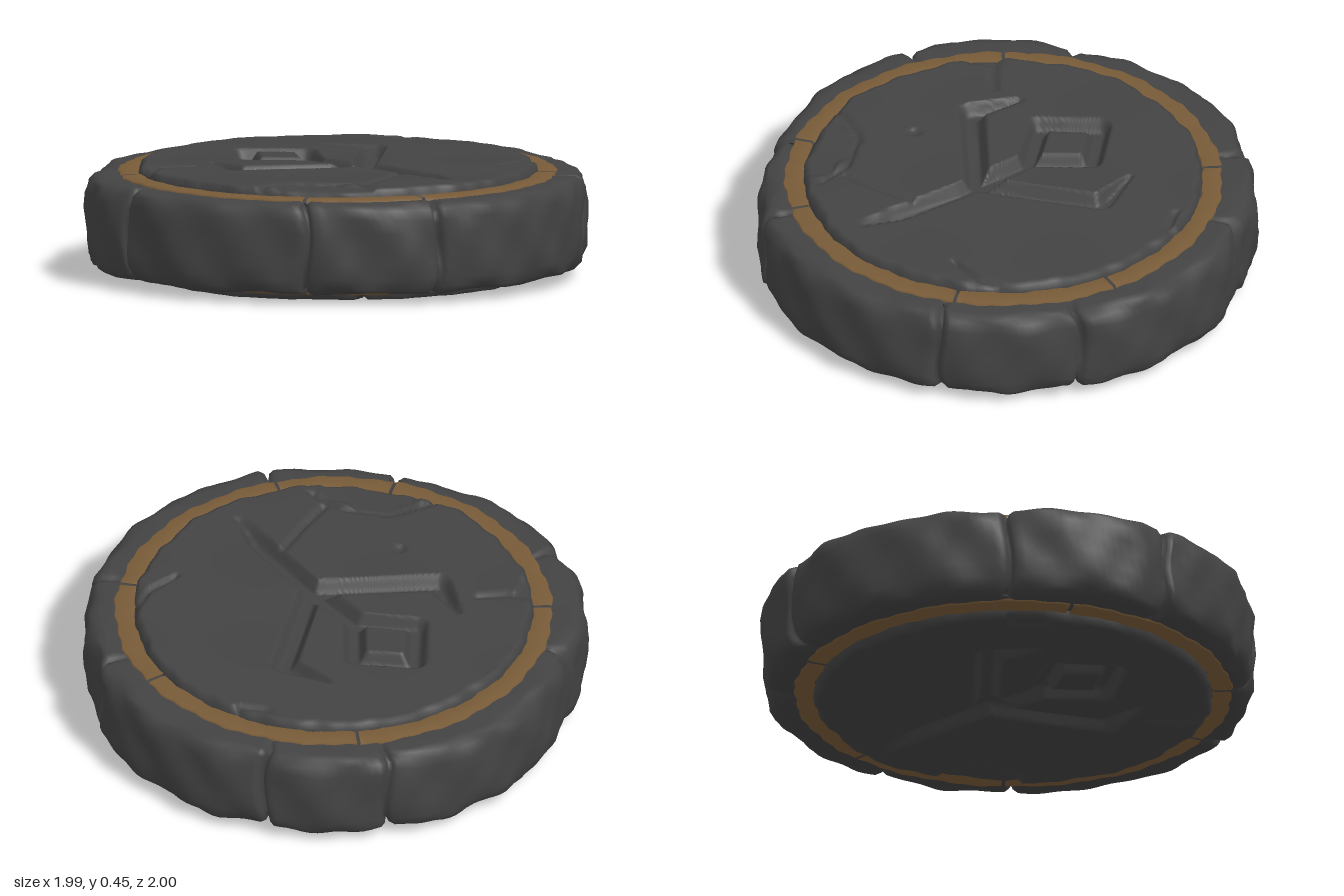
import * as THREE from 'three';

const MID = 0.23;        // height of the disc's middle plane
const FACE = 0.221;      // half thickness at the carved faces
const RIM = 0.182;       // half thickness of the outer stones
const TAU = Math.PI * 2;
const rad = (d) => ((d + 360) % 360) * Math.PI / 180;
const clamp01 = (v) => Math.min(1, Math.max(0, v));

const stone = new THREE.MeshStandardMaterial({ color: 0x434343 });
stone.name = 'dark stone';
const gold = new THREE.MeshStandardMaterial({ color: 0x785b38 });
gold.name = 'dull gold';

// Skin a surface through rows of points; every row has the same length.
function loft(rows, closed) {
  const n = rows.length, m = rows[0].length, index = [];
  for (let i = 0; i < (closed ? n : n - 1); i++) {
    for (let j = 0; j < m - 1; j++) {
      const k = (i + 1) % n;
      const a = i * m + j, b = k * m + j;
      index.push(a, b, a + 1, b, b + 1, a + 1);
    }
  }
  const g = new THREE.BufferGeometry();
  g.setAttribute('position', new THREE.Float32BufferAttribute(rows.flat(2), 3));
  g.setIndex(index);
  g.computeVertexNormals();
  return g;
}

const polar = (r, a, y) => [r * Math.cos(a), y, r * Math.sin(a)];

// Uneven outline of the outer stones, as x, z points going round
const outline = [
  [1, 0.08], [0.93, 0.34], [0.9, 0.37], [0.77, 0.615], [0.59, 0.786], [0.38, 0.914], [0.14, 0.98],
  [-0.13, 0.98], [-0.4, 0.9], [-0.66, 0.69], [-0.78, 0.54], [-0.9, 0.32], [-0.985, 0.05],
  [-0.957, -0.24], [-0.93, -0.32], [-0.92, -0.4], [-0.743, -0.668], [-0.52, -0.81], [-0.29, -0.94],
  [0, -1], [0.246, -0.975], [0.433, -0.885], [0.7, -0.72], [0.8, -0.57], [0.83, -0.52],
  [0.93, -0.37], [0.985, -0.13],
].map(([x, z]) => ({ a: (Math.atan2(z, x) + TAU) % TAU, r: Math.hypot(x, z) }));

function outlineRadius(angle) {
  const a = (angle + TAU) % TAU;
  let i = outline.findIndex((p) => p.a > a);
  if (i < 0) i = 0;
  const q = outline[i], p = outline[(i + outline.length - 1) % outline.length];
  const span = (q.a - p.a + TAU) % TAU;
  return p.r + (q.r - p.r) * (((a - p.a + TAU) % TAU) / span);
}

// Outer ring of stones, pinched in at the joints between them
const joints = [21, 54.5, 114, 146, 196.6, 236, 298, 327].map(rad);
function rimGeometry() {
  const gap = (a) => Math.min(...joints.map((c) => Math.abs(a - c)));
  const angles = [];
  for (let i = 0; i < 200; i++) {
    const a = (i / 200) * TAU;
    if (gap(a) > 0.036) angles.push(a);
  }
  joints.forEach((c) => [-0.03, -0.011, 0, 0.011, 0.03].forEach((d) => angles.push(c + d)));
  angles.sort((p, q) => p - q);
  // inset from the outline, height from the middle
  const profile = [
    [0.065, RIM], [0.035, RIM - 0.006], [0.014, RIM - 0.025], [0.002, RIM - 0.065], [0, 0.06],
    [0, 0], [0, -0.06], [0.004, 0.065 - RIM], [0.016, 0.025 - RIM], [0.035, 0.006 - RIM], [0.065, -RIM],
  ];
  const rows = angles.map((a) => {
    const d = gap(a);
    const pinch = d < 0.005 ? 1 : d < 0.02 ? 0.28 : 0;
    const R = outlineRadius(a);
    const row = profile.map(([inset, y], j) => {
      const chisel = 0.006 * Math.sin(a * 19 + j * 0.9) + 0.005 * Math.sin(a * 31 - j * 1.4) - 0.004;
      const lean = 0.012 * Math.sin(j * 0.8 + a * 3);
      const level = y + 0.004 * Math.sin(a * 13 + j);
      return polar(R - inset + chisel - 0.04 * pinch, a + lean,
        MID + level - Math.sign(y) * 0.03 * pinch * Math.min(1, Math.abs(y) / RIM));
    });
    const ledge = (s, r, h) => polar(r, a, MID + s * (h - 0.012 * pinch));
    return [ledge(1, 0.72, RIM - 0.004), ledge(1, 0.87, RIM - 0.002), ...row,
      ledge(-1, 0.87, RIM - 0.002), ledge(-1, 0.72, RIM - 0.004)];
  });
  return loft(rows, true);
}

// Gold inlay, broken into arcs with worn edges
const breaks = [8.5, 52, 115, 147, 219, 304].map(rad);
function inlayGeometry(side, start, end) {
  const rows = [];
  const n = Math.ceil((end - start) / 0.035);
  for (let i = 0; i <= n; i++) {
    const a = start + ((end - start) * i) / n;
    const inner = 0.786 + 0.004 * Math.sin(a * 23) + 0.003 * Math.sin(a * 57);
    const outer = 0.862 + 0.004 * Math.sin(a * 17 + 1) + 0.004 * Math.sin(a * 49);
    const row = [[inner - 0.004, RIM - 0.006], [inner, RIM + 0.008], [outer - 0.004, RIM + 0.007], [outer, RIM - 0.006]]
      .map(([r, h]) => polar(r, a, MID + side * h));
    rows.push(side > 0 ? row : row.reverse());
  }
  return loft(rows, false);
}

// Carved sign: strokes as x0, z0, x1, z1, half width at each end
const arm = (s) => [
  [s * 0.34, -0.36, s * 0.4, -0.165, 0.014, 0.054],
  [s * 0.4, -0.165, 0, 0.135, 0.054, 0.052],
];
const diamond = (s) => [
  [0, -0.49, s * 0.16, -0.315, 0.046, 0.046],
  [s * 0.16, -0.315, 0, -0.125, 0.046, 0.046],
];
const strokes = [
  ...arm(1), ...arm(-1), ...diamond(1), ...diamond(-1),
  [0, -0.12, -0.005, 0.2, 0.05, 0.052], [-0.005, 0.2, -0.04, 0.5, 0.052, 0.045],
  [-0.04, 0.5, -0.08, 0.68, 0.045, 0.008],
];

// Weathering: cracks as polylines, chips as x, z, radius, depth
const wear = {
  top: {
    cracks: [
      [[-0.73, 0.24], [-0.55, 0.29], [-0.42, 0.45], [-0.4, 0.6]],
      [[-0.38, 0.5], [-0.24, 0.46], [-0.08, 0.4]], [[0.36, 0.54], [0.5, 0.54], [0.62, 0.48]],
      [[0.64, -0.35], [0.7, -0.27], [0.78, -0.24]], [[-0.66, -0.52], [-0.56, -0.4], [-0.46, -0.33]],
    ],
    chips: [[-0.66, 0.5, 0.23, 0.012], [-0.68, -0.46, 0.1, 0.014], [-0.43, 0.1, 0.03, 0.012], [0.6, 0.62, 0.12, 0.01]],
  },
  bottom: {
    cracks: [[[-0.33, 0.46], [-0.45, 0.56], [-0.52, 0.58]]],
    chips: [[0.54, 0.54, 0.16, 0.02], [-0.5, -0.6, 0.1, 0.012]],
  },
};

function distanceTo(x, z, x0, z0, x1, z1) {
  const dx = x1 - x0, dz = z1 - z0;
  const t = clamp01(((x - x0) * dx + (z - z0) * dz) / (dx * dx + dz * dz));
  return [Math.hypot(x - x0 - t * dx, z - z0 - t * dz), t];
}

function carveDepth(x, z) {
  let depth = 0;
  for (const [x0, z0, x1, z1, w0, w1] of strokes) {
    const [d, t] = distanceTo(x, z, x0, z0, x1, z1);
    const w = w0 + (w1 - w0) * t;
    depth = Math.max(depth, 0.052 * Math.min(1, w / 0.04) * clamp01((w - d) / (w * 0.6)));
  }
  return depth;
}

function wearDepth(x, z, { cracks, chips }) {
  let depth = 0;
  for (const line of cracks) {
    for (let i = 0; i < line.length - 1; i++) {
      const [d] = distanceTo(x, z, ...line[i], ...line[i + 1]);
      depth = Math.max(depth, 0.022 * clamp01(1 - d / 0.018));
    }
  }
  for (const [cx, cz, r, h] of chips) {
    const a = Math.atan2(z - cz, x - cx);
    const edge = r * (1 + 0.08 * Math.sin(a * 5) + 0.05 * Math.sin(a * 11));
    depth = Math.max(depth, h * clamp01((edge - Math.hypot(x - cx, z - cz)) / 0.015));
  }
  return depth;
}

// Raised centre disc: a polar sheet pressed down by the carving and the wear
function faceGeometry(side) {
  const rows = [], turns = 270, rings = 84;
  for (let i = 0; i < turns; i++) {
    const a = (i / turns) * TAU, row = [];
    const rough = 0.006 * Math.sin(a * 9) + 0.005 * Math.sin(a * 21 + 2) + 0.003 * Math.sin(a * 43);
    for (let j = 0; j <= rings; j++) {
      const r = (j / rings) * (0.762 + rough);
      const x = r * Math.cos(a), z = r * Math.sin(a);
      // the lower carving is turned a quarter
      const carve = side > 0 ? carveDepth(x, z) : carveDepth(-z, x);
      const worn = wearDepth(x, z, side > 0 ? wear.top : wear.bottom);
      const swell = 0.002 * Math.sin(x * 9 + 1) * Math.sin(z * 8);
      row.push([x, MID + side * (FACE + swell - Math.max(carve, worn)), z]);
    }
    const edge = Math.abs(row[rings][1] - MID);
    row.push(polar(0.774 + rough, a, MID + side * (edge - 0.008)));
    row.push(polar(0.784 + rough * 0.5, a, MID + side * (RIM + 0.006)));
    row.push(polar(0.785 + rough * 0.5, a, MID + side * (RIM - 0.02)));
    rows.push(side > 0 ? row : row.reverse());
  }
  return loft(rows, true);
}

export function createModel() {
  const model = new THREE.Group();
  model.name = 'carvedStoneDisc';
  const add = (name, geometry, material) => {
    const mesh = new THREE.Mesh(geometry, material);
    mesh.name = name;
    model.add(mesh);
  };
  add('outerStones', rimGeometry(), stone);
  for (const [side, label] of [[1, 'top'], [-1, 'bottom']]) {
    add(label + 'CarvedFace', faceGeometry(side), stone);
    breaks.forEach((start, i) => {
      const end = i + 1 < breaks.length ? breaks[i + 1] : breaks[0] + TAU;
      add(label + 'Inlay' + (i + 1), inlayGeometry(side, start + 0.008, end - 0.008), gold);
    });
  }
  return model;
}
